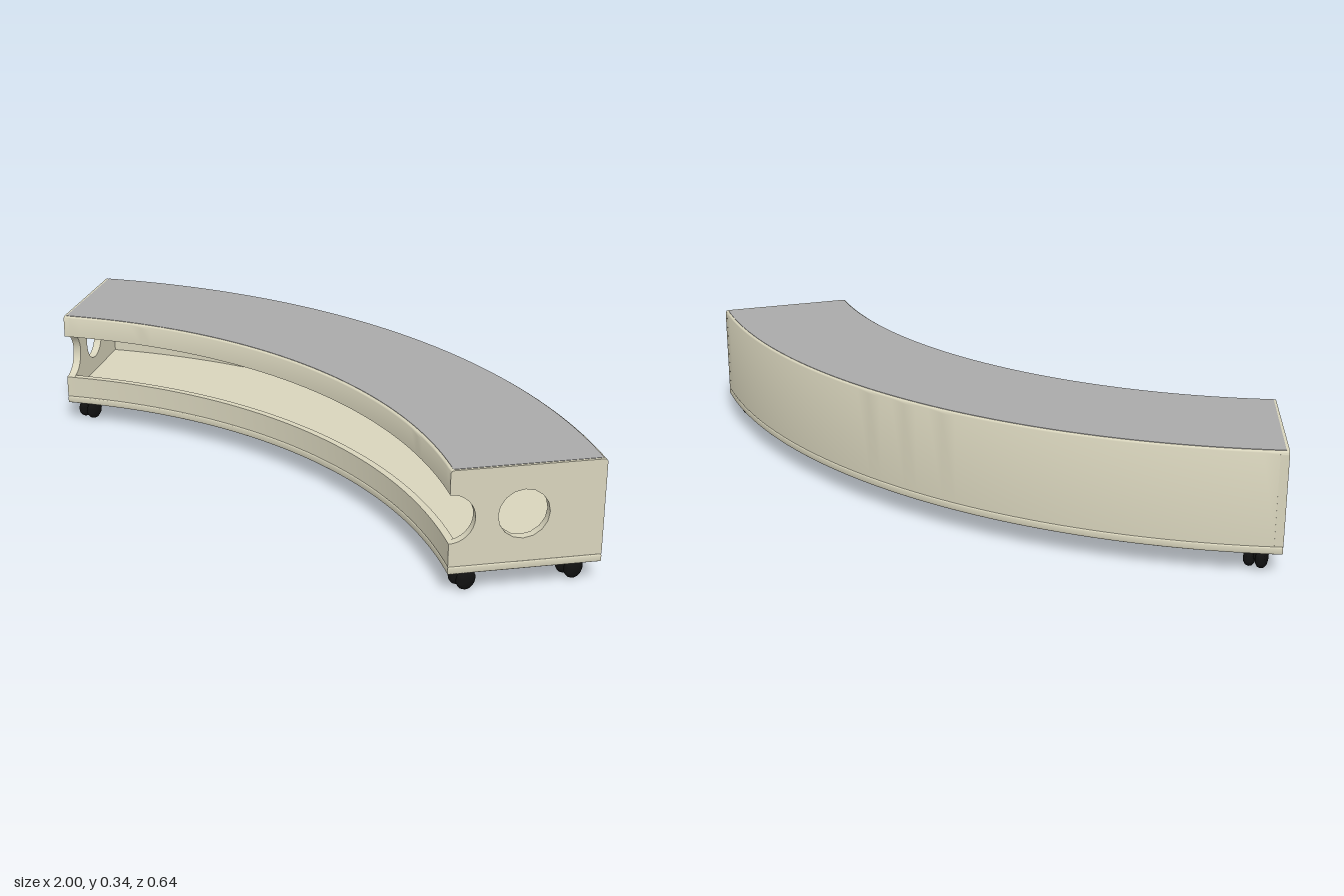
import * as THREE from 'three';
import { toCreasedNormals } from 'three/addons/utils/BufferGeometryUtils.js';

// Curved bench: an annular sector around a centre in front of the bench
const RO = 1.82, RI = 1.425, CZ = 1.5, HALF = 0.583;
const BASE_Y = 0.062, BODY_Y = 0.084, TOP_Y = 0.343;
const WALL = 0.02, ROUND = 0.01;
const HOLE_Y = 0.213, HOLE_R = 0.066, HOLE_AT = 1.614;

const shellMat = new THREE.MeshStandardMaterial({ color: 0xd8d4bc });
const topMat = new THREE.MeshStandardMaterial({ color: 0xaaaaaa });
const blackMat = new THREE.MeshStandardMaterial({ color: 0x111111 });

function add(parent, name, geometry, material) {
  const mesh = new THREE.Mesh(geometry, material);
  mesh.name = name;
  parent.add(mesh);
  return mesh;
}

// Outer outline of the cross-section, from outer bottom over the top to the inner side
function traceOutline(path) {
  path.moveTo(RO, BODY_Y);
  path.lineTo(RO, TOP_Y - ROUND);
  path.quadraticCurveTo(RO, TOP_Y, RO - ROUND, TOP_Y);
  path.lineTo(RI + ROUND, TOP_Y);
  path.quadraticCurveTo(RI, TOP_Y, RI, TOP_Y - ROUND);
  path.lineTo(RI, HOLE_Y + HOLE_R);
  return path;
}

// Hollow C-shaped section swept along the arc, open towards the concave front
function shellGeometry() {
  const p = traceOutline(new THREE.Path());
  const inner = RI + WALL, outer = RO - WALL;
  p.lineTo(inner, HOLE_Y + HOLE_R);
  p.lineTo(inner, TOP_Y - WALL);
  p.lineTo(outer, TOP_Y - WALL);
  p.lineTo(outer, BODY_Y + WALL);
  p.lineTo(inner, BODY_Y + WALL);
  p.lineTo(inner, HOLE_Y - HOLE_R);
  p.lineTo(RI, HOLE_Y - HOLE_R);
  p.lineTo(RI, BODY_Y);
  p.lineTo(RO, BODY_Y);
  const half = HALF - WALL / RO;
  const g = new THREE.LatheGeometry(p.getPoints(4), 48, Math.PI - half, 2 * half);
  return toCreasedNormals(g, 0.6);
}

// End panel with a round hole and a half-round notch where the slot runs out
function endPanelGeometry() {
  const s = traceOutline(new THREE.Shape());
  s.absarc(RI, HOLE_Y, HOLE_R, Math.PI / 2, -Math.PI / 2, true);
  s.lineTo(RI, BODY_Y);
  const hole = new THREE.Path();
  hole.absarc(HOLE_AT, HOLE_Y, HOLE_R, 0, Math.PI * 2, true);
  s.holes.push(hole);
  const g = new THREE.ExtrudeGeometry(s, { depth: WALL + 0.003, bevelEnabled: false, curveSegments: 8 });
  return toCreasedNormals(g, 0.6);
}

// Flat annular sector lying between two heights, with a small rounded edge
function slabGeometry(y0, y1, inset, bevel) {
  const s = new THREE.Shape();
  const mid = -Math.PI / 2, half = HALF - inset / RO;
  s.absarc(0, 0, RO - inset, mid - half, mid + half, false);
  s.absarc(0, 0, RI + inset, mid + half, mid - half, true);
  const g = new THREE.ExtrudeGeometry(s, {
    depth: y1 - y0 - 2 * bevel, curveSegments: 48, bevelEnabled: bevel > 0,
    bevelSize: bevel, bevelThickness: bevel, bevelOffset: -bevel, bevelSegments: 3,
  });
  g.rotateX(Math.PI / 2);
  g.translate(0, y1 - bevel, 0);
  return toCreasedNormals(g, 0.6);
}

// Twin-wheel caster
function createCaster() {
  const caster = new THREE.Group();
  caster.name = 'caster';
  const r = 0.028;
  const profile = [[0, -0.012], [0.02, -0.012], [0.026, -0.007], [r, 0], [0.026, 0.007], [0.02, 0.012], [0, 0.012]]
    .map(([a, b]) => new THREE.Vector2(a, b));
  const wheelGeo = toCreasedNormals(new THREE.LatheGeometry(profile, 20), 0.8);
  for (const side of [-1, 1]) {
    const wheel = add(caster, 'wheel', wheelGeo, blackMat);
    wheel.rotation.z = Math.PI / 2;
    wheel.position.set(side * 0.016, r, 0);
  }
  const axle = add(caster, 'axle', new THREE.CylinderGeometry(0.008, 0.008, 0.03, 12), blackMat);
  axle.rotation.z = Math.PI / 2;
  axle.position.y = r;
  const stem = add(caster, 'stem', new THREE.CylinderGeometry(0.009, 0.009, 0.04, 12), blackMat);
  stem.position.y = 0.044;
  return caster;
}

export function createModel() {
  const model = new THREE.Group();
  model.name = 'curvedBench';
  const bench = new THREE.Group();
  bench.name = 'bench';
  bench.position.z = CZ;
  const turn = new THREE.Group();
  turn.name = 'benchAssembly';
  turn.rotation.y = -0.0075;
  turn.add(bench);
  model.add(turn);

  add(bench, 'hollowShell', shellGeometry(), shellMat);
  add(bench, 'basePlate', slabGeometry(BASE_Y, BODY_Y - 0.001, 0, 0.004), shellMat);
  add(bench, 'seatTop', slabGeometry(TOP_Y - 0.004, TOP_Y + 0.001, 0.008, 0), topMat);

  const panelGeo = endPanelGeometry();
  for (const side of [-1, 1]) {
    // End panel, its outer face on the end of the arc
    const holder = new THREE.Group();
    holder.name = side > 0 ? 'leftEnd' : 'rightEnd';
    holder.rotation.y = Math.PI / 2 - side * HALF;
    const panel = add(holder, 'endPanel', panelGeo, shellMat);
    panel.position.z = side > 0 ? -(WALL + 0.003) : 0;
    bench.add(holder);

    // Front and back casters near each end
    for (const radius of [1.477, 1.76]) {
      const caster = createCaster();
      const a = side * 0.5486;
      caster.position.set(radius * Math.sin(a), 0, -radius * Math.cos(a));
      caster.rotation.y = -side * 0.2;
      bench.add(caster);
    }
  }
  return model;
}
